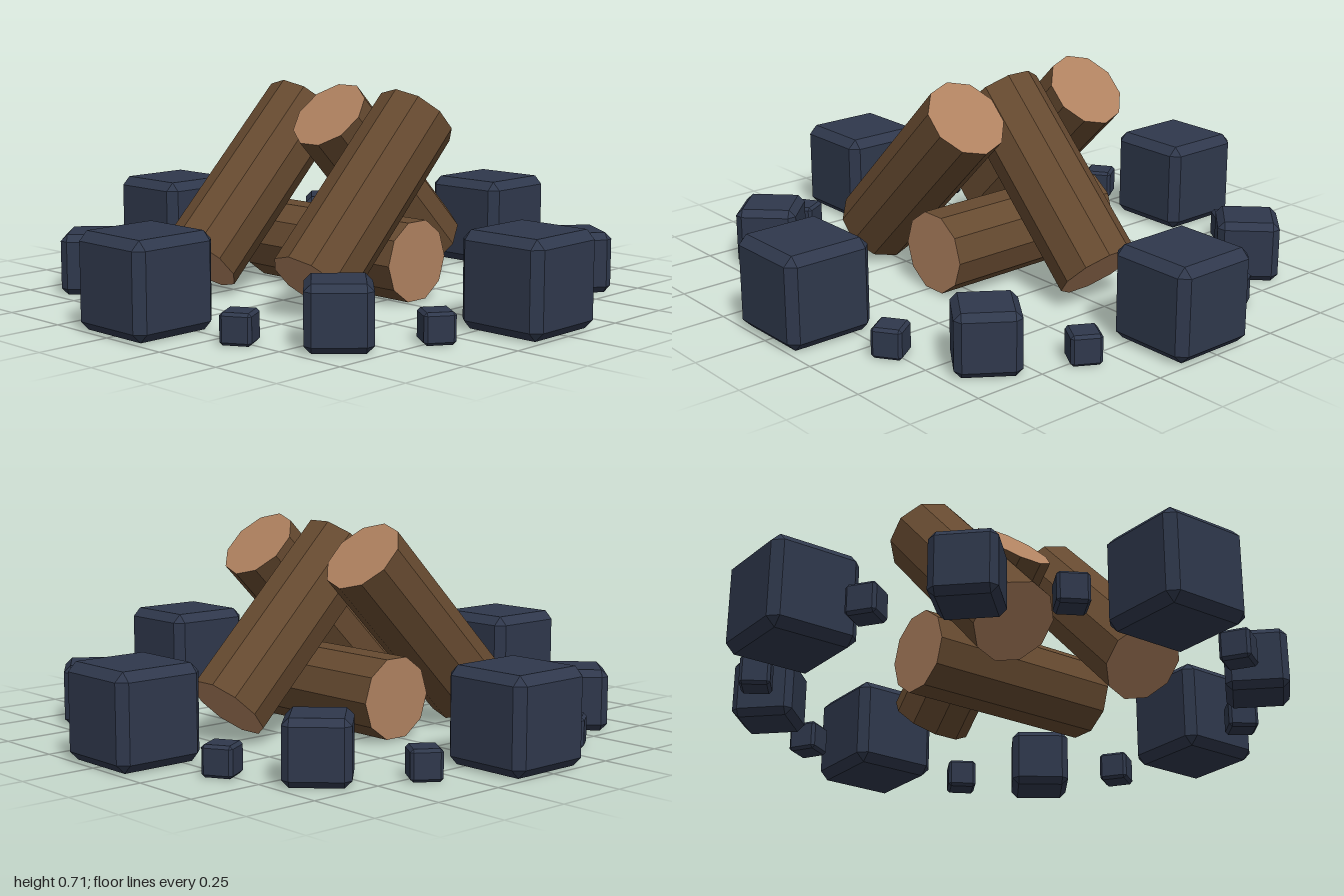
import * as THREE from 'three';
import { ConvexGeometry } from 'three/addons/geometries/ConvexGeometry.js';

const mat = (name, color) => {
  const m = new THREE.MeshStandardMaterial({ color });
  m.name = name;
  return m;
};

// Cube with every edge and corner bevelled flat
function chamferedCube(size, c) {
  const h = size / 2, k = h - c, points = [];
  for (const sx of [-1, 1]) for (const sy of [-1, 1]) for (const sz of [-1, 1]) {
    for (const [x, y, z] of [[h, k, k], [k, h, k], [k, k, h]]) {
      points.push(new THREE.Vector3(x * sx, y * sy, z * sz));
    }
  }
  return new ConvexGeometry(points);
}

export function createModel() {
  const model = new THREE.Group();
  model.name = 'campfire';
  const bark = mat('bark', 0x664a30);
  const cutWood = mat('cutWood', 0xb08260);
  const stone = mat('stone', 0x2f384c);
  bark.flatShading = true;

  // Ten-sided log running between two end centres
  function addLog(name, from, to, turn = 0) {
    const a = new THREE.Vector3(...from), b = new THREE.Vector3(...to);
    const geo = new THREE.CylinderGeometry(0.141, 0.141, a.distanceTo(b), 10);
    geo.rotateY(turn);
    const log = new THREE.Mesh(geo, [bark, cutWood, cutWood]);
    log.name = name;
    log.position.addVectors(a, b).multiplyScalar(0.5);
    log.quaternion.setFromUnitVectors(new THREE.Vector3(0, 1, 0), b.clone().sub(a).normalize());
    model.add(log);
  }

  // Leaning logs and the one lying beneath them
  addLog('leftLog', [0.268, 0.117, 0.385], [0.268, 0.615, -0.115]);
  addLog('rightLog', [-0.268, 0.117, 0.385], [-0.268, 0.615, -0.115]);
  addLog('backLog', [0, 0.117, -0.47], [0, 0.615, 0.03], Math.PI / 10);
  addLog('lyingLog', [-0.35, 0.142, -0.035], [0.35, 0.142, -0.035]);

  // Ring of stones: x, z, turn in degrees
  function addStones(name, size, chamfer, places) {
    const geo = chamferedCube(size, chamfer);
    for (const [x, z, turn] of places) {
      const mesh = new THREE.Mesh(geo, stone);
      mesh.name = name;
      mesh.position.set(x, size / 2, z);
      mesh.rotation.y = THREE.MathUtils.degToRad(turn);
      model.add(mesh);
    }
  }
  addStones('largeStone', 0.315, 0.03, [
    [0, 0.8425, 0], [0, -0.8425, 0], [0.8425, 0, 0], [-0.8425, 0, 0],
  ]);
  addStones('mediumStone', 0.21, 0.023, [
    [-0.59, -0.593, 45], [0.588, -0.593, -35], [-0.59, 0.588, 45], [0.588, 0.588, 45],
  ]);
  const small = [];
  for (const sx of [-1, 1]) for (const sz of [-1, 1]) {
    small.push([sx * 0.337, sz * 0.758, 30 * sx * sz]);
    small.push([sx < 0 ? -0.78 : 0.757, sz * 0.337, -34 * sx * sz]);
  }
  addStones('smallStone', 0.102, 0.01, small);

  return model;
}
